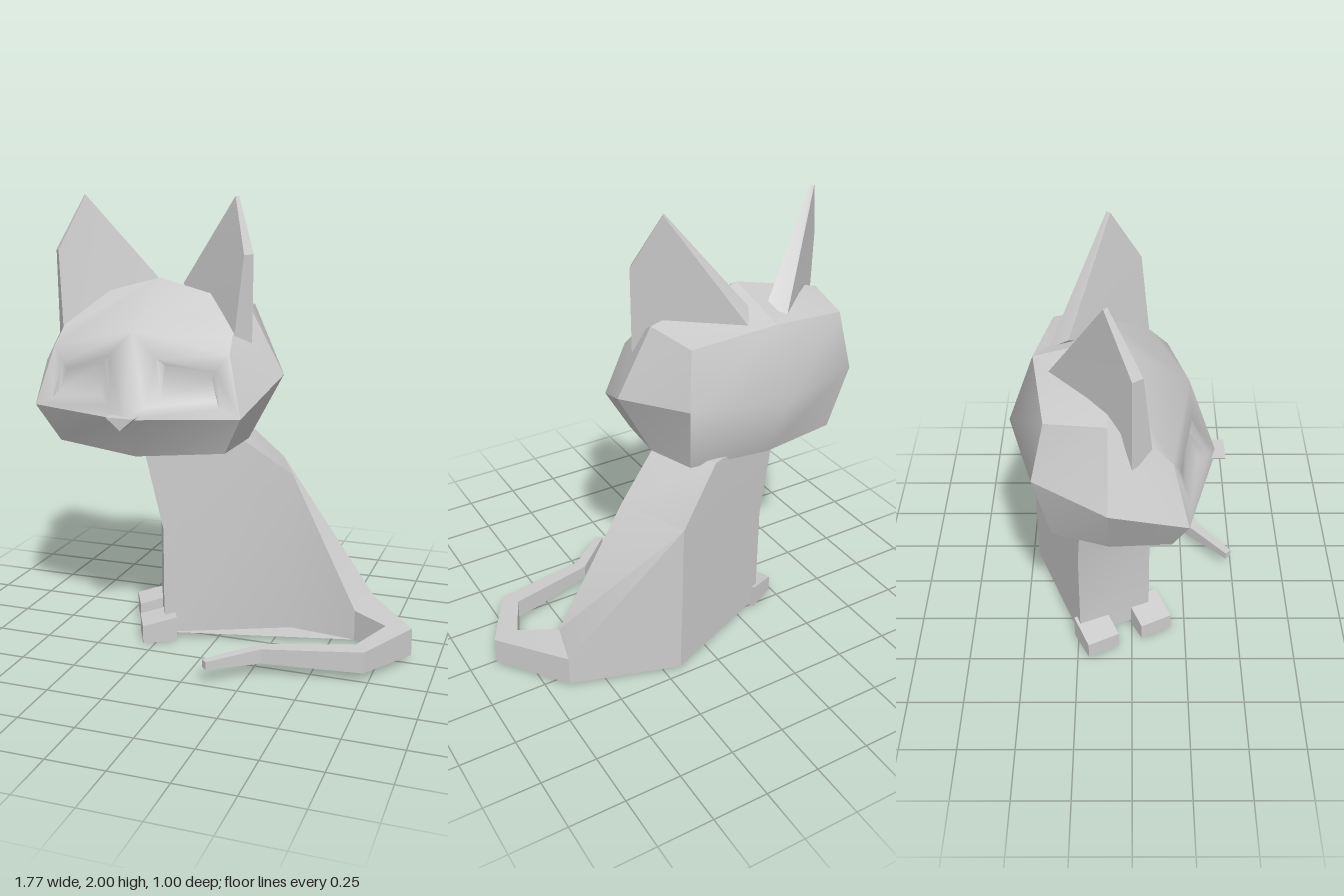
import * as THREE from 'three';
import { toCreasedNormals } from 'three/addons/utils/BufferGeometryUtils.js';

const material = new THREE.MeshStandardMaterial({ color: 0xcccccc });

// Fans convex faces (lists of [x, y, z] corners) into a geometry; edges sharper than crease stay hard.
function facesToGeometry(faces, crease = 0.1) {
  const pos = [];
  for (const f of faces)
    for (let i = 1; i < f.length - 1; i++) pos.push(...f[0], ...f[i], ...f[i + 1]);
  const g = new THREE.BufferGeometry();
  g.setAttribute('position', new THREE.Float32BufferAttribute(pos, 3));
  return toCreasedNormals(g, crease);
}

const mirrorFaces = faces => faces.map(f => f.map(([x, y, z]) => [-x, y, z]).reverse());

function addMesh(parent, name, geometry) {
  const m = new THREE.Mesh(geometry, material);
  m.name = name;
  parent.add(m);
  return m;
}

// Skins a list of equal-sized loops, with both ends capped.
function loft(loops) {
  const n = loops[0].length, faces = [[...loops[0]].reverse(), loops[loops.length - 1]];
  for (let k = 0; k < loops.length - 1; k++)
    for (let i = 0; i < n; i++) {
      const j = (i + 1) % n;
      faces.push([loops[k][i], loops[k][j], loops[k + 1][j], loops[k + 1][i]]);
    }
  return faces;
}

// Left half of the head: smooth face, smooth back and faceted sides.
function headHalf() {
  const noseMid = [0, 1.08, 0.35], cheek = [0.48, 1.09, 0.22];
  const temple = [0.41, 1.35, 0.155], templeTop = [0.4, 1.42, 0.085], brow = [0, 1.44, 0.23];
  const crownSide = [0.42, 1.53, -0.09], crownMid = [0.23, 1.58, -0.09], crown = [0, 1.64, -0.09];
  const side = [0.58, 1.235, -0.09], sideLow = [0.42, 0.935, -0.09];
  const chin = [0, 0.89, 0.22], jaw = [0.39, 0.92, 0.16], throat = [0, 0.865, 0.03];
  const backTop = [0, 1.56, -0.39], backTopSide = [0.37, 1.51, -0.33];
  const back = [0, 1.25, -0.5], backSide = [0.405, 1.26, -0.385];
  const nape = [0, 0.95, -0.37], napeSide = [0.36, 0.95, -0.32];

  // face panel: frame, sloping eye rim, eye floor
  const onFace = (x, y, depth) => [x, y, 0.35 - 0.33 * (y - 1.08) - 0.27 * x - depth];
  const frame = [noseMid, cheek, temple, brow];
  const rim = [[0.08, 1.13], [0.39, 1.13], [0.36, 1.28], [0.11, 1.33]].map(p => onFace(...p, 0));
  const floor = [[0.14, 1.16], [0.37, 1.16], [0.34, 1.25], [0.14, 1.3]].map(p => onFace(...p, 0.022));
  const face = [floor, [brow, temple, templeTop, crownSide, crownMid, crown]];
  for (let i = 0; i < 4; i++) {
    const j = (i + 1) % 4;
    face.push([frame[i], frame[j], rim[j], rim[i]], [rim[i], rim[j], floor[j], floor[i]]);
  }
  return {
    face,
    backOfHead: [[backSide, back, backTop, backTopSide], [napeSide, nape, back, backSide]],
    sidesOfHead: [
      [chin, jaw, cheek, noseMid],
      [jaw, sideLow, side, cheek],
      [side, crownSide, templeTop, temple, cheek],
      [side, backSide, backTopSide, crownSide],
      [sideLow, napeSide, backSide, side],
      [crownSide, backTopSide, backTop, crown, crownMid],
      [throat, nape, napeSide, sideLow, jaw, chin],
    ],
  };
}

function bodyFaces() {
  // chest edges at floor, middle and neck
  const a = [-0.24, 0.02, 0.08], a1 = [-0.24, 0.52, 0.08], a2 = [-0.33, 0.95, 0.11];
  const b = [-0.38, 0.02, -0.24], b1 = [-0.38, 0.52, -0.24], b2 = [-0.46, 0.95, -0.21];
  // far back edge
  const c = [0.18, 0.02, -0.47], c1 = [0.17, 0.76, -0.47], c2 = [-0.04, 0.98, -0.38];
  // near back edge
  const d = [0.3, 0.02, -0.16], d1 = [0.3, 0.76, -0.16], d2 = [0.09, 0.93, -0.07];
  // rump, where the tail starts
  const m = [0.66, 0.02, -0.32], m1 = [0.66, 0.16, -0.32];
  const n = [0.61, 0.02, -0.12], n1 = [0.61, 0.16, -0.12];
  return [
    [a, d, d1, a1], [a1, d1, d2, a2], [d, n, n1, d1],
    [b, a, a1, b1], [b1, a1, a2, b2],
    [c, b, b1, c1], [c1, b1, b2, c2],
    [m, c, c1, m1], [n1, m1, c1, d1], [d1, c1, c2, d2],
    [a2, d2, c2, b2], [a, b, c, m, n, d],
  ];
}

export function createModel() {
  const model = new THREE.Group();
  model.name = 'sittingCat';

  const head = new THREE.Group();
  head.name = 'head';
  head.position.x = -0.31;
  model.add(head);
  const creases = { face: 1, backOfHead: 1, sidesOfHead: 0.4 };
  for (const [name, faces] of Object.entries(headHalf()))
    addMesh(head, name, facesToGeometry([...faces, ...mirrorFaces(faces)], creases[name]));

  // ears: thick pointed slabs
  const earFront = [[0.05, 1.6, -0.25], [0.4, 1.37, 0.08], [0.435, 1.76, 0.04], [0.355, 2, -0.085]];
  const earBack = [[0.09, 1.54, -0.33], [0.46, 1.36, 0], [0.465, 1.76, 0], [0.367, 2, -0.1]];
  const ear = loft([earBack, earFront]);
  addMesh(head, 'leftEar', facesToGeometry(ear, 0.4));
  addMesh(head, 'rightEar', facesToGeometry(mirrorFaces(ear), 0.4));

  // nose: downward triangle
  const nose = z => [[-0.063, 1.095, z], [0, 1.04, z], [0.063, 1.095, z]];
  addMesh(head, 'nose', facesToGeometry(loft([nose(0.28), nose(0.385)])));

  addMesh(model, 'body', facesToGeometry(bodyFaces(), 0.58));

  // tail sections: outer x, z, inner x, z, bottom, top
  const tail = [
    [0.66, -0.32, 0.61, -0.12, 0.02, 0.16],
    [0.885, -0.03, 0.77, -0.02, 0.025, 0.15],
    [0.73, 0.25, 0.68, 0.18, 0.04, 0.135],
    [0.3, 0.33, 0.28, 0.28, 0.055, 0.12],
    [0.11, 0.495, 0.085, 0.47, 0.07, 0.105],
  ].map(([ox, oz, ix, iz, y0, y1]) => [[ox, y1, oz], [ix, y1, iz], [ix, y0, iz], [ox, y0, oz]]);
  addMesh(model, 'tail', facesToGeometry(loft(tail), 0.3));

  // paws: boxes with a lowered front, pointing out from the chest
  for (const [name, x, z] of [['leftPaw', -0.27, 0.08], ['rightPaw', -0.385, -0.165]]) {
    const g = new THREE.BoxGeometry(0.155, 0.115, 0.155).toNonIndexed();
    const p = g.attributes.position;
    for (let i = 0; i < p.count; i++)
      if (p.getY(i) > 0 && p.getZ(i) > 0) p.setY(i, 0.022);
    g.computeVertexNormals();
    const paw = addMesh(model, name, g);
    paw.position.set(x, 0.0575, z);
    paw.rotation.y = -1.1;
  }
  return model;
}
